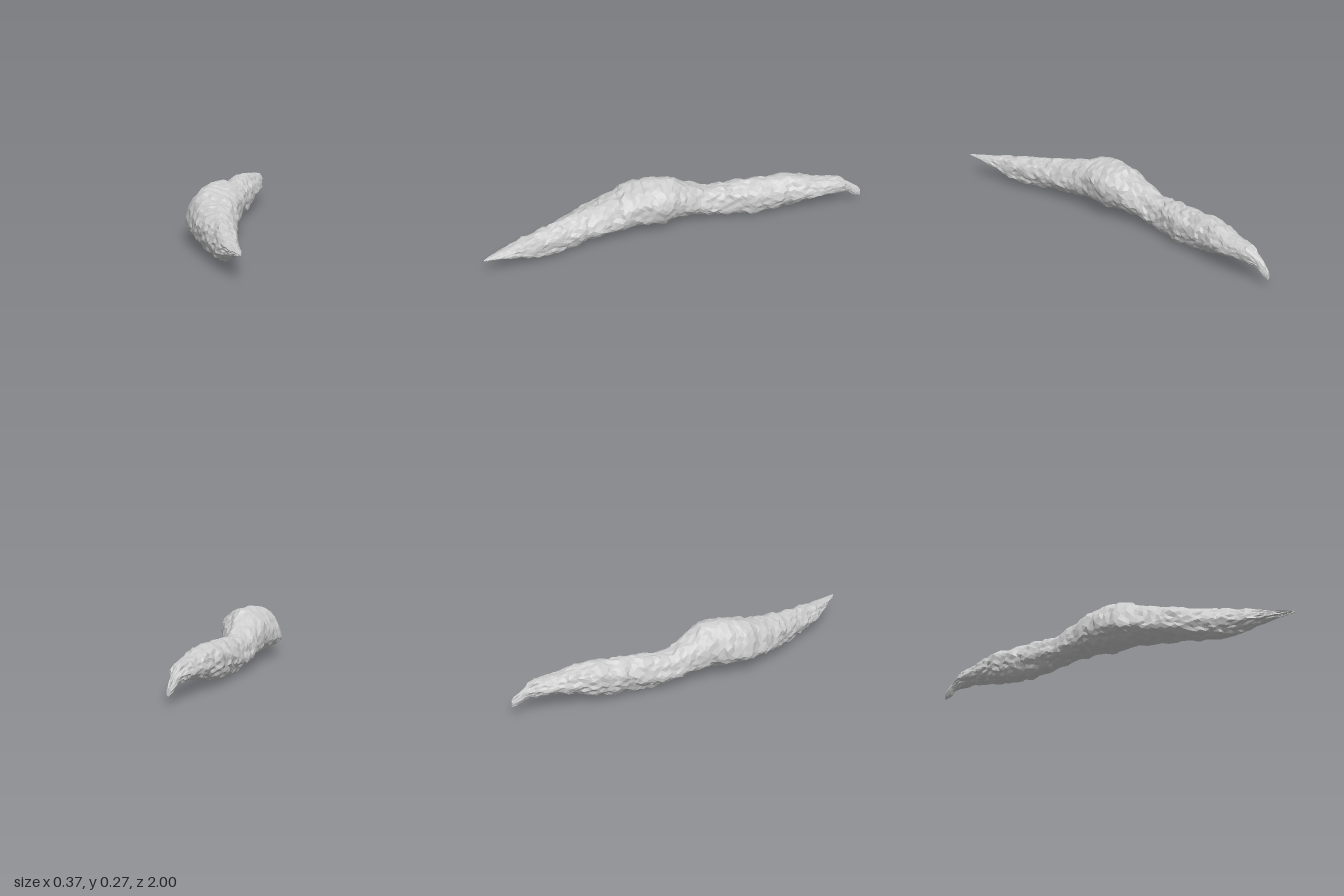
import * as THREE from 'three';

// Body stations from front tip to back tip: z, min x, max x, min y, max y
const STATIONS = [
  [1, 0.18, 0.185, 0.115, 0.122],
  [0.9, 0.11, 0.175, 0.09, 0.132],
  [0.8, 0.05, 0.155, 0.05, 0.145],
  [0.7, 0.015, 0.14, 0.02, 0.16],
  [0.6, -0.03, 0.12, 0.02, 0.172],
  [0.5, -0.08, 0.102, 0.025, 0.188],
  [0.4, -0.12, 0.092, 0.03, 0.205],
  [0.3, -0.15, 0.085, 0.033, 0.225],
  [0.2, -0.182, 0.083, 0.04, 0.262],
  [0.08, -0.16, 0.102, 0.042, 0.275],
  [0, -0.145, 0.08, 0.053, 0.265],
  [-0.1, -0.13, 0.047, 0.04, 0.212],
  [-0.2, -0.12, 0.035, 0.02, 0.172],
  [-0.3, -0.11, 0.045, 0.01, 0.185],
  [-0.4, -0.092, 0.07, 0.008, 0.196],
  [-0.5, -0.088, 0.08, 0.02, 0.195],
  [-0.6, -0.075, 0.086, 0.035, 0.206],
  [-0.7, -0.04, 0.1, 0.06, 0.19],
  [-0.8, -0.015, 0.1, 0.08, 0.17],
  [-0.88, 0.01, 0.093, 0.08, 0.17],
  [-0.93, 0.038, 0.077, 0.08, 0.13],
  [-0.97, 0.045, 0.082, 0.05, 0.105],
  [-1, 0.057, 0.075, 0.042, 0.08],
];
const RINGS = 96, SIDES = 26;

// Linear lookup of a station at depth z
function sectionAt(z) {
  let k = 0;
  while (k < STATIONS.length - 2 && z < STATIONS[k + 1][0]) k++;
  const a = STATIONS[k], b = STATIONS[k + 1];
  const t = (a[0] - z) / (a[0] - b[0]);
  return a.map((v, i) => THREE.MathUtils.lerp(v, b[i], t));
}

function seededRandom(seed) {
  return () => {
    seed = (seed * 16807) % 2147483647;
    return seed / 2147483647 - 0.5;
  };
}

function bodyGeometry() {
  const random = seededRandom(4711);
  const positions = [], index = [];
  for (let i = 0; i <= RINGS; i++) {
    const z = 1 - (2 * i) / RINGS;
    const [, x0, x1, y0, y1] = sectionAt(z);
    const cx = (x0 + x1) / 2, rx = (x1 - x0) / 2, h = y1 - y0;
    const hump = Math.exp(-(((z - 0.15) / 0.25) ** 2));
    const rough = Math.min(0.014, Math.min(rx, h / 2) * 0.2);
    for (let j = 0; j < SIDES; j++) {
      const a = ((j + (i % 2) / 2) / SIDES) * Math.PI * 2;
      const c = Math.cos(a), s = Math.sin(a);
      // Widest height differs on the two sides of the hump
      const wide = y0 + h * (0.45 + hump * (c > 0 ? 0.05 : -0.15) * Math.abs(c));
      // Lumps plus fine jitter
      const lump = 0.45 * rough * Math.sin(21 * z + 3 * a) * Math.sin(33 * z - 2 * a + 1);
      const r = 0.7 * rough * random() + lump;
      const px = cx + c * (rx + r);
      const py = wide + s * ((s > 0 ? y1 - wide : wide - y0) + r);
      const pz = i === 0 || i === RINGS ? z : z + 0.016 * random();
      positions.push(px, Math.max(0, py), THREE.MathUtils.clamp(pz, -1, 1));
    }
  }
  for (let i = 0; i < RINGS; i++) {
    for (let j = 0; j < SIDES; j++) {
      const n = (j + 1) % SIDES;
      const a = i * SIDES + j, b = i * SIDES + n;
      const c = a + SIDES, d = b + SIDES;
      // Diagonals follow the staggered rings
      if (i % 2) index.push(a, d, b, a, c, d);
      else index.push(a, c, b, b, c, d);
    }
  }
  // Close both tips
  for (let j = 1; j < SIDES - 1; j++) {
    const e = RINGS * SIDES;
    index.push(0, j, j + 1, e, e + j + 1, e + j);
  }
  const geometry = new THREE.BufferGeometry();
  geometry.setAttribute('position', new THREE.Float32BufferAttribute(positions, 3));
  geometry.setIndex(index);
  geometry.computeVertexNormals();
  return geometry;
}

export function createModel() {
  const group = new THREE.Group();
  group.name = 'rockRidge';
  const material = new THREE.MeshStandardMaterial({ color: 0xcccccc, flatShading: true });
  const body = new THREE.Mesh(bodyGeometry(), material);
  body.name = 'ridgeBody';
  group.add(body);
  return group;
}
